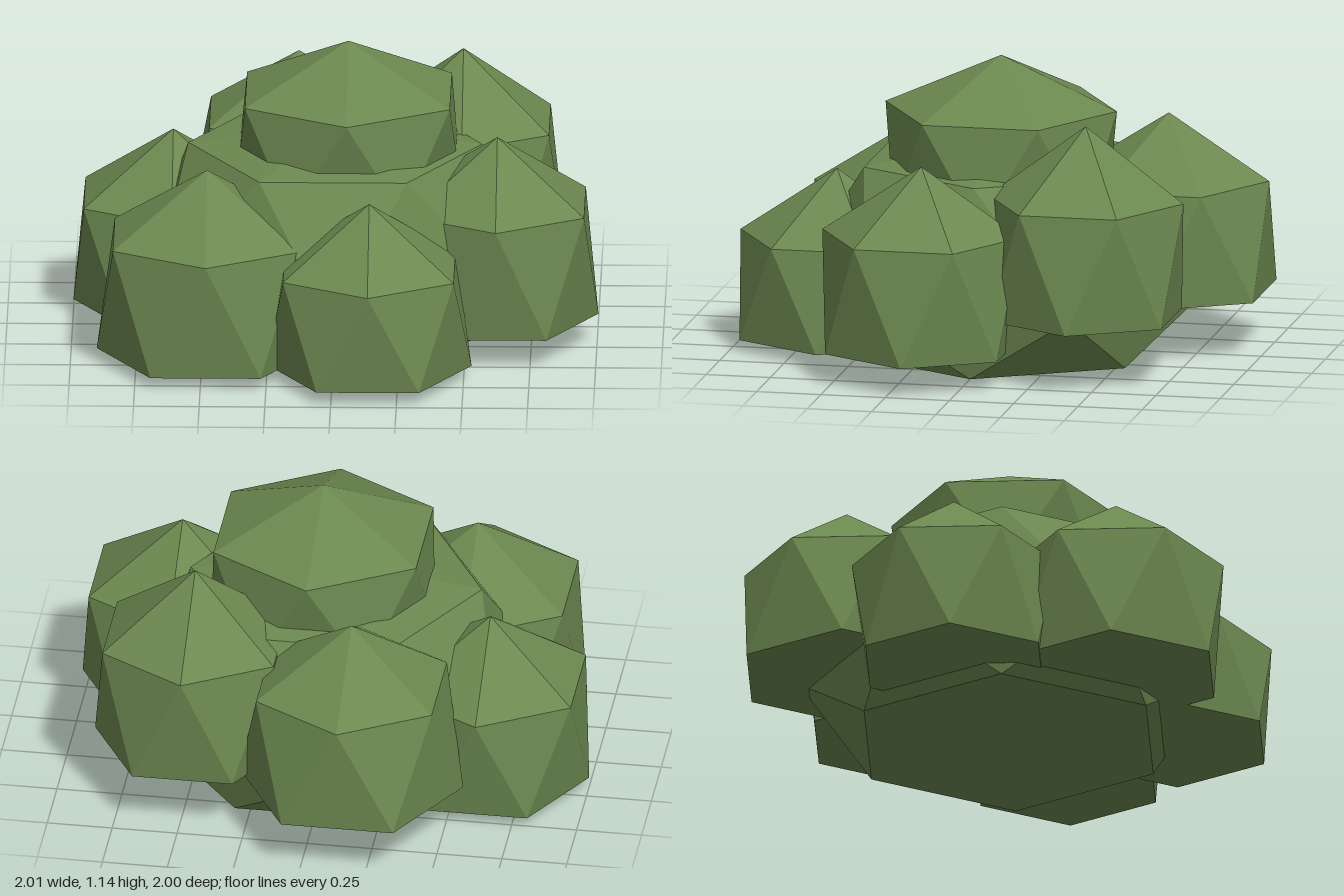
import * as THREE from 'three';

const leaf = new THREE.MeshStandardMaterial({ color: 0x6c8850, flatShading: true });
leaf.name = 'leaf green';

// Closed faceted clump: top point, hexagonal rings of [radius, y, turn in degrees], bottom point
function clump(name, x, z, top, rings, bottom) {
  const loops = rings.map(([r, y, turn]) => Array.from({ length: 6 }, (_, k) => {
    const a = THREE.MathUtils.degToRad(k * 60 + turn);
    return [r * Math.sin(a), y, r * Math.cos(a)];
  }));
  const pos = [];
  const tri = (a, b, c) => pos.push(...a, ...b, ...c);
  const last = loops.length - 1;
  for (let k = 0; k < 6; k++) {
    const n = (k + 1) % 6;
    tri([0, top, 0], loops[0][k], loops[0][n]);
    tri([0, bottom, 0], loops[last][n], loops[last][k]);
    for (let i = 0; i < last; i++) {
      const up = loops[i], low = loops[i + 1];
      // neighbouring rings are half a step apart, giving zigzag triangles
      if (rings[i + 1][2] > rings[i][2]) {
        tri(up[k], low[k], up[n]);
        tri(up[n], low[k], low[n]);
      } else {
        tri(up[k], low[k], low[n]);
        tri(up[k], low[n], up[n]);
      }
    }
  }
  const geo = new THREE.BufferGeometry();
  geo.setAttribute('position', new THREE.Float32BufferAttribute(pos, 3));
  geo.computeVertexNormals();
  const mesh = new THREE.Mesh(geo, leaf);
  mesh.name = name;
  mesh.position.set(x, 0, z);
  return mesh;
}

export function createModel() {
  const bush = new THREE.Group();
  bush.name = 'bush';

  // Wide core that joins the outer clumps
  bush.add(clump('core', 0, 0, 0.82,
    [[0.56, 0.74, 30], [0.8, 0.27, 0], [0.62, 0.01, 30]], 0.02));

  // name, x, z, top, upper ring y, lower ring y, upper radius, lower radius
  const clumps = [
    ['crownClump', 0.05, 0.0, 1.15, 0.95, 0.57, 0.45, 0.43],
    ['frontClump', 0.14, 0.62, 0.70, 0.445, 0.055, 0.375, 0.39],
    ['frontRightClump', -0.48, 0.43, 0.77, 0.51, 0.055, 0.41, 0.42],
    ['rightClump', -0.62, -0.18, 0.735, 0.475, 0.05, 0.39, 0.38],
    ['backClump', -0.15, -0.61, 0.91, 0.66, 0.23, 0.39, 0.43],
    ['backLeftClump', 0.48, -0.42, 0.985, 0.70, 0.25, 0.38, 0.385],
    ['leftClump', 0.62, 0.19, 0.83, 0.57, 0.125, 0.385, 0.385],
  ];
  for (const [name, x, z, top, upY, lowY, upR, lowR] of clumps) {
    bush.add(clump(name, x, z, top, [[upR, upY, 0], [lowR, lowY, 30]], lowY));
  }
  return bush;
}
